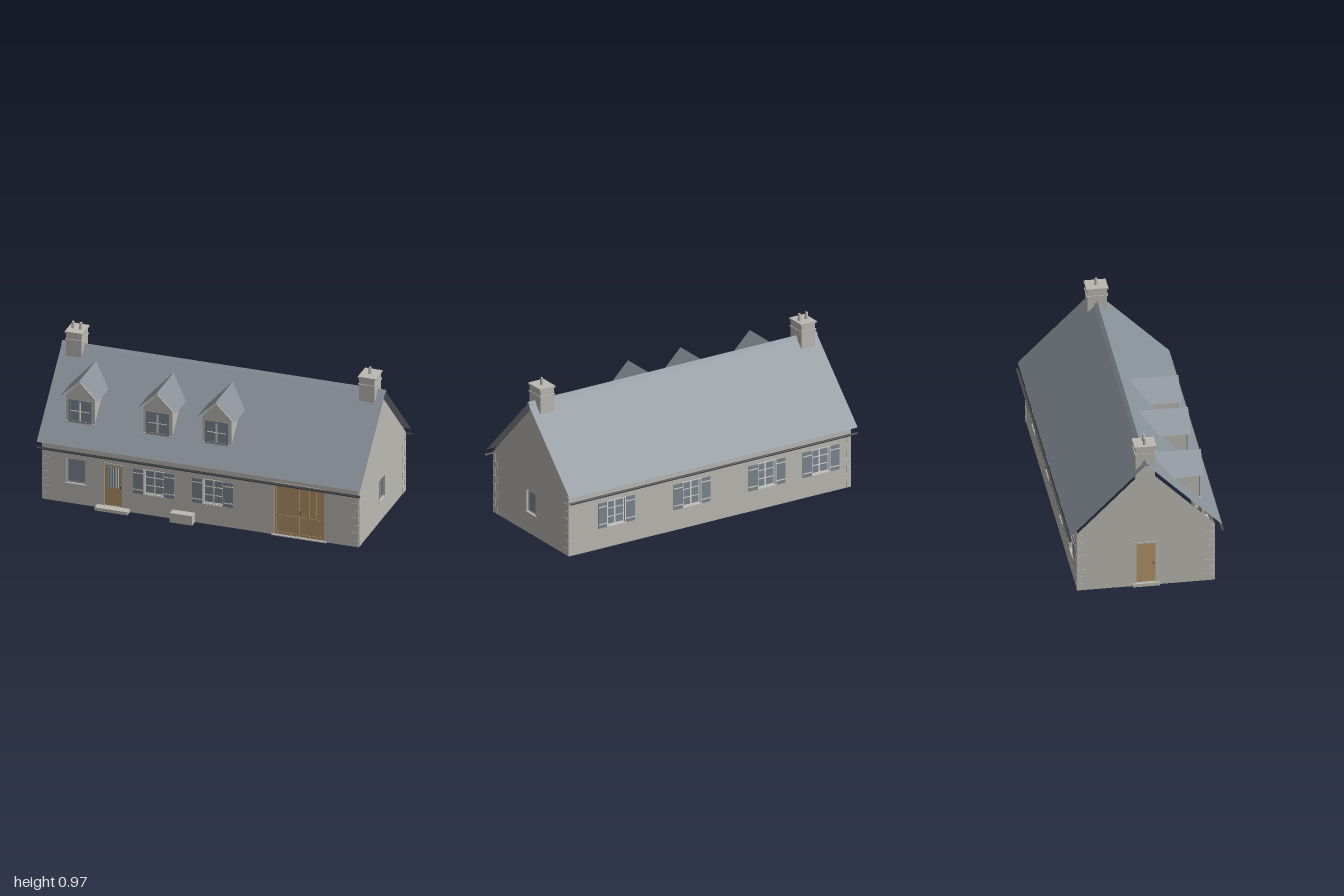
import * as THREE from 'three';

const material = (name, color, side = THREE.FrontSide) => {
  const m = new THREE.MeshStandardMaterial({ color, side });
  m.name = name;
  return m;
};

export function createModel() {
  const D = THREE.DoubleSide;
  const render = material('pale render', 0xbbb9b2, D);
  const slate = material('roof slate', 0x878f97, D);
  const glass = material('window glass', 0x7c8691, D);
  const paint = material('shutter paint', 0x7b848e);
  const white = material('frame white', 0xd6d6d2);
  const wood = material('door wood', 0xb3926b, D);
  const iron = material('dark iron', 0x484b50, D);

  const house = new THREE.Group();
  house.name = 'longhouse';
  const add = (parent, name, geo, mat, x = 0, y = 0, z = 0) => {
    const mesh = new THREE.Mesh(geo, mat);
    mesh.name = name;
    mesh.position.set(x, y, z);
    parent.add(mesh);
    return mesh;
  };
  // Box given by its extents
  const block = (parent, name, mat, x0, x1, y0, y1, z0, z1) =>
    add(parent, name, new THREE.BoxGeometry(x1 - x0, y1 - y0, z1 - z0), mat,
      (x0 + x1) / 2, (y0 + y1) / 2, (z0 + z1) / 2);
  const part = (parent, name, x = 0, y = 0, z = 0) => {
    const g = new THREE.Group();
    g.name = name;
    g.position.set(x, y, z);
    parent.add(g);
    return g;
  };
  const polygon = pts => new THREE.Shape(pts.map(p => new THREE.Vector2(...p)));

  const HX = 0.978, HZ = 0.405, EAVE = 0.385, PEAK = 0.79, RIDGE = 0.83;

  // Border of four bars round a rectangle
  const border = (g, name, mat, w, y0, y1, t, z0, z1) => {
    for (const s of [-1, 1]) {
      const a = s * w, b = s * (w - t);
      block(g, name, mat, Math.min(a, b), Math.max(a, b), y0, y1, z0, z1);
    }
    block(g, name, mat, -w + t, w - t, y1 - t, y1, z0, z1);
    block(g, name, mat, -w + t, w - t, y0, y0 + t, z0, z1);
  };

  // Glazed casement with optional glazing bars
  const casement = (g, w, y0, y1, z, rows, frame) => {
    add(g, 'pane', new THREE.PlaneGeometry(2 * w, y1 - y0), glass, 0, (y0 + y1) / 2, z);
    border(g, 'frame', frame, w, y0, y1, 0.006, z, z + 0.006);
    if (!rows) return;
    block(g, 'mullion', white, -0.005, 0.005, y0, y1, z, z + 0.005);
    for (let i = 1; i < rows; i++) {
      const y = y0 + (y1 - y0) * i / rows;
      block(g, 'glazingBar', white, -w, w, y - 0.002, y + 0.002, z, z + 0.004);
    }
  };

  const window = (wall, x, w, y0, y1, shutters) => {
    const g = part(wall, shutters ? 'shutteredWindow' : 'plainWindow', x);
    border(g, 'reveal', render, w + 0.002, y0 - 0.002, y1 + 0.002, 0.003, -0.022, 0.001);
    casement(g, w, y0, y1, -0.018, shutters ? 3 : 0, shutters ? white : paint);
    block(g, 'sill', render, -w - 0.01, w + 0.01, y0 - 0.007, y0, -0.018, 0.006);
    if (!shutters) return;
    border(g, 'surround', white, w + 0.003, y0, y1 + 0.003, 0.005, 0, 0.003);
    for (const s of [-1, 1]) {
      const c = s * (w + 0.034);
      block(g, 'shutter', paint, c - 0.031, c + 0.031, y0, y1, 0, 0.005);
      for (const y of [y0 + 0.025, y1 - 0.025])
        block(g, 'strapHinge', white, c - 0.031, c + 0.031, y - 0.003, y + 0.003, 0, 0.007);
    }
  };

  const door = (wall, x, glazed) => {
    const g = part(wall, 'door', x);
    block(g, 'doorLeaf', wood, -0.056, 0.056, 0.02, 0.285, -0.015, -0.006);
    border(g, 'doorFrame', render, 0.067, 0.01, 0.295, 0.011, -0.015, 0.004);
    block(g, 'handle', iron, 0.042, 0.048, 0.14, 0.155, -0.006, 0.003);
    if (glazed) {
      block(g, 'doorGlass', glass, -0.036, 0.036, 0.14, 0.27, -0.006, -0.003);
      for (let i = -2; i <= 2; i++)
        block(g, 'doorBar', white, i * 0.015 - 0.002, i * 0.015 + 0.002, 0.14, 0.27, -0.003, -0.001);
    }
  };

  const garage = (wall, x) => {
    const g = part(wall, 'garageDoors', x);
    border(g, 'garageFrame', render, 0.163, 0, 0.34, 0.008, -0.012, 0.004);
    for (const s of [-1, 1]) {
      const leaf = part(g, 'garageLeaf', s * 0.078);
      block(leaf, 'boards', wood, -0.076, 0.076, 0.008, 0.331, -0.012, -0.005);
      border(leaf, 'rails', wood, 0.076, 0.008, 0.331, 0.014, -0.005, -0.001);
      block(leaf, 'midRail', wood, -0.062, 0.062, 0.12, 0.134, -0.005, -0.001);
      for (const k of [-1, 1])
        block(leaf, 'stile', wood, k * 0.022 - 0.004, k * 0.022 + 0.004, 0.134, 0.317, -0.005, -0.001);
    }
    block(g, 'handle', iron, 0.004, 0.01, 0.155, 0.175, -0.001, 0.006);
    block(g, 'threshold', render, -0.17, 0.17, 0, 0.006, -0.01, 0.015);
  };

  // Wall panel with openings [x, halfWidth, y0, y1]; local z points outwards
  const wallPanel = (name, turn, half, dist, gable, holes) => {
    const g = part(house, name, Math.sin(turn) * dist, 0, Math.cos(turn) * dist);
    g.rotation.y = turn;
    const pts = [[-half, 0], [half, 0], [half, EAVE]];
    if (gable) pts.push([0, PEAK]);
    pts.push([-half, EAVE]);
    const shape = polygon(pts);
    for (const [x, w, y0, y1] of holes)
      shape.holes.push(new THREE.Path(
        [[x - w, y0], [x - w, y1], [x + w, y1], [x + w, y0]].map(p => new THREE.Vector2(...p))));
    add(g, 'wallFace', new THREE.ShapeGeometry(shape), render);
    // Alternating corner stones
    for (let i = 0; i < 8; i++) for (const s of [-1, 1]) {
      const w = (i % 2 === 0) === gable ? 0.05 : 0.028, y = i * 0.047;
      block(g, 'cornerStone', render, s > 0 ? half - w : -half, s > 0 ? half : -half + w,
        y + 0.002, y + 0.045, 0, 0.003);
    }
    return g;
  };

  const W = 0.062, Y0 = 0.13, Y1 = 0.288;
  const frontX = [-0.29, 0.075], backX = [-0.65, -0.125, 0.395, 0.77];
  const doorHole = x => [x, 0.06, 0.012, 0.288];

  const front = wallPanel('frontWall', 0, HX, HZ, false,
    [...frontX.map(x => [x, W, Y0, Y1]), [-0.772, 0.058, Y0, Y1], doorHole(-0.54), [0.61, 0.158, 0.003, 0.335]]);
  frontX.forEach(x => window(front, x, W, Y0, Y1, true));
  window(front, -0.772, 0.058, Y0, Y1, false);
  door(front, -0.54, true);
  garage(front, 0.61);
  block(front, 'doorStep', render, -0.64, -0.437, 0, 0.02, 0, 0.048);
  block(front, 'mountingBlock', render, -0.174, -0.035, 0, 0.06, 0, 0.051);

  const back = wallPanel('backWall', Math.PI, HX, HZ, false, backX.map(x => [x, W, Y0, Y1]));
  backX.forEach(x => window(back, x, W, Y0, Y1, true));

  const right = wallPanel('gableWithWindow', Math.PI / 2, HZ, HX, true, [[0, 0.05, 0.13, 0.268]]);
  window(right, 0, 0.05, 0.13, 0.268, false);

  const left = wallPanel('gableWithDoor', -Math.PI / 2, HZ, HX, true, [doorHole(0)]);
  door(left, 0, false);
  block(left, 'doorStep', render, -0.08, 0.08, 0, 0.02, 0, 0.016);

  // Sheet bent over a ridge: profile in x and y, run along z
  const sheet = (pts, depth) => {
    const pos = [], index = [];
    pts.forEach(([x, y], i) => {
      pos.push(x, y, 0, x, y, depth);
      if (i) index.push(2 * i - 2, 2 * i - 1, 2 * i, 2 * i - 1, 2 * i + 1, 2 * i);
    });
    const geo = new THREE.BufferGeometry();
    geo.setAttribute('position', new THREE.Float32BufferAttribute(pos, 3));
    geo.setIndex(index);
    const flat = geo.toNonIndexed();
    flat.computeVertexNormals();
    return flat;
  };

  // Main roof, ridge capping and gutters
  const run = 0.447;
  const roof = add(house, 'mainRoof', sheet([[-run, RIDGE - run], [0, RIDGE], [run, RIDGE - run]], 2), slate, -1);
  roof.rotation.y = Math.PI / 2;
  const cap = add(house, 'ridgeCap', new THREE.ExtrudeGeometry(
    polygon([[-0.021, 0.822], [0.021, 0.822], [0, 0.84]]), { depth: 2, bevelEnabled: false }), slate, -1);
  cap.rotation.y = Math.PI / 2;
  for (const s of [-1, 1]) {
    const gutter = new THREE.CylinderGeometry(0.01, 0.01, 2, 10, 1, true, Math.PI, Math.PI);
    add(house, 'gutter', gutter.rotateZ(Math.PI / 2), iron, 0, 0.352, s * 0.451);
  }

  // Dormers: gabled body cut back to the roof slope, with a small sheet roof
  for (const x of [-0.77, -0.29, 0.075]) {
    const g = part(house, 'dormer', x);
    const zf = 0.333;
    const body = new THREE.ExtrudeGeometry(
      polygon([[-0.09, 0.475], [0.09, 0.475], [0.09, 0.655], [0, 0.745], [-0.09, 0.655]]),
      { depth: 1, bevelEnabled: false });
    const p = body.attributes.position;
    for (let i = 0; i < p.count; i++)
      p.setZ(i, p.getZ(i) > 0.5 ? zf : Math.min(zf - 0.001, RIDGE - 0.01 - p.getY(i)));
    body.computeVertexNormals();
    add(g, 'dormerBody', body, render);
    const cover = sheet([[-0.117, 0.655], [0, 0.77], [0.117, 0.655]], 1);
    const q = cover.attributes.position;
    for (let i = 0; i < q.count; i++)
      q.setZ(i, q.getZ(i) > 0.5 ? 0.356 : RIDGE - q.getY(i));
    cover.computeVertexNormals();
    add(g, 'dormerRoof', cover, slate);
    const w = part(g, 'dormerWindow', 0, 0, zf + 0.003);
    border(w, 'surround', paint, 0.071, 0.492, 0.638, 0.005, -0.002, 0.005);
    casement(w, 0.066, 0.497, 0.633, 0, 2, paint);
    block(g, 'dormerSill', render, -0.095, 0.095, 0.485, 0.494, zf - 0.01, zf + 0.009);
  }

  // Chimneys with bands, cap slabs and tapered pots
  for (const [x, pots] of [[-0.909, [-0.024, 0.024]], [0.904, [0]]]) {
    const g = part(house, 'chimney', x);
    block(g, 'stack', render, -0.048, 0.048, 0.7, 0.922, -0.058, 0.058);
    block(g, 'band', render, -0.052, 0.052, 0.875, 0.882, -0.063, 0.063);
    block(g, 'capSlab', render, -0.054, 0.054, 0.92, 0.93, -0.065, 0.065);
    for (const dx of pots)
      add(g, 'chimneyPot', new THREE.CylinderGeometry(0.008, 0.011, 0.042, 12), render, dx, 0.95, 0);
  }
  return house;
}
